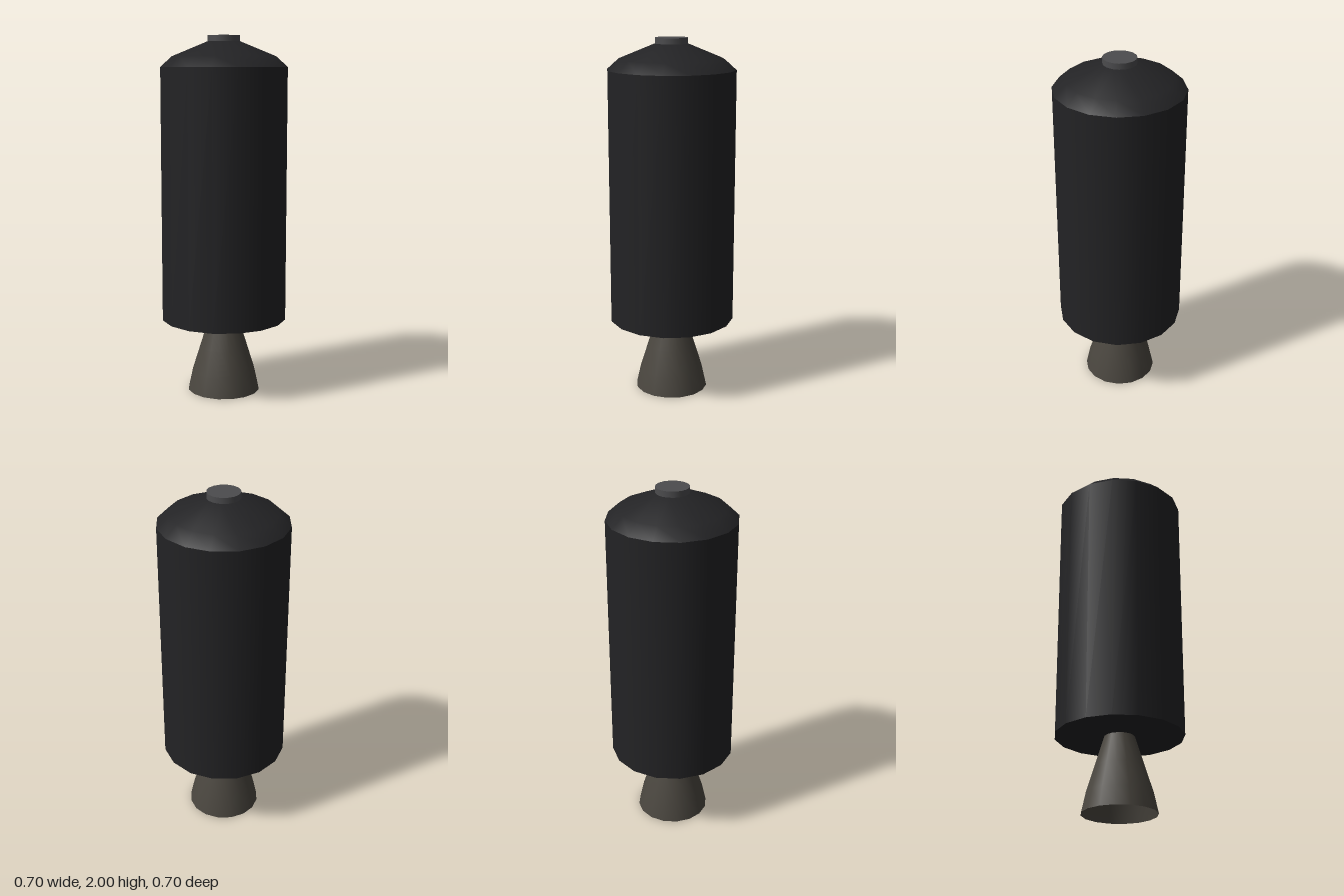
import * as THREE from 'three';

const SIDES = 16;

export function createModel() {
  const group = new THREE.Group();
  const add = (name, geometry, color, y = 0, side = THREE.FrontSide) => {
    const mesh = new THREE.Mesh(geometry, new THREE.MeshStandardMaterial({ color, side }));
    mesh.name = name;
    mesh.position.y = y;
    group.add(mesh);
  };
  const lathe = (points) =>
    new THREE.LatheGeometry(points.map(([r, y]) => new THREE.Vector2(r, y)), SIDES);

  const bodyColor = 0x232325;
  const bottom = 0.42, shoulder = 1.83, radius = 0.352;

  // Main tank with its flat underside
  add('tankBody', new THREE.CylinderGeometry(radius, radius, shoulder - bottom, SIDES),
    bodyColor, (bottom + shoulder) / 2);

  // Shallow dome closing the tank
  add('tankDome', lathe([[radius, shoulder], [0.288, 1.887], [0.09, 1.968], [0, 1.968]]), bodyColor);

  // Small round fitting on top
  add('topCap', new THREE.CylinderGeometry(0.09, 0.09, 0.06, SIDES), 0x4c4c4e, 1.97);

  // Flared engine bell, open at the bottom
  add('engineNozzle', lathe([[0.204, 0], [0.18, 0.11], [0.136, 0.25], [0.083, bottom]]),
    0x4a463f, 0, THREE.DoubleSide);

  return group;
}
